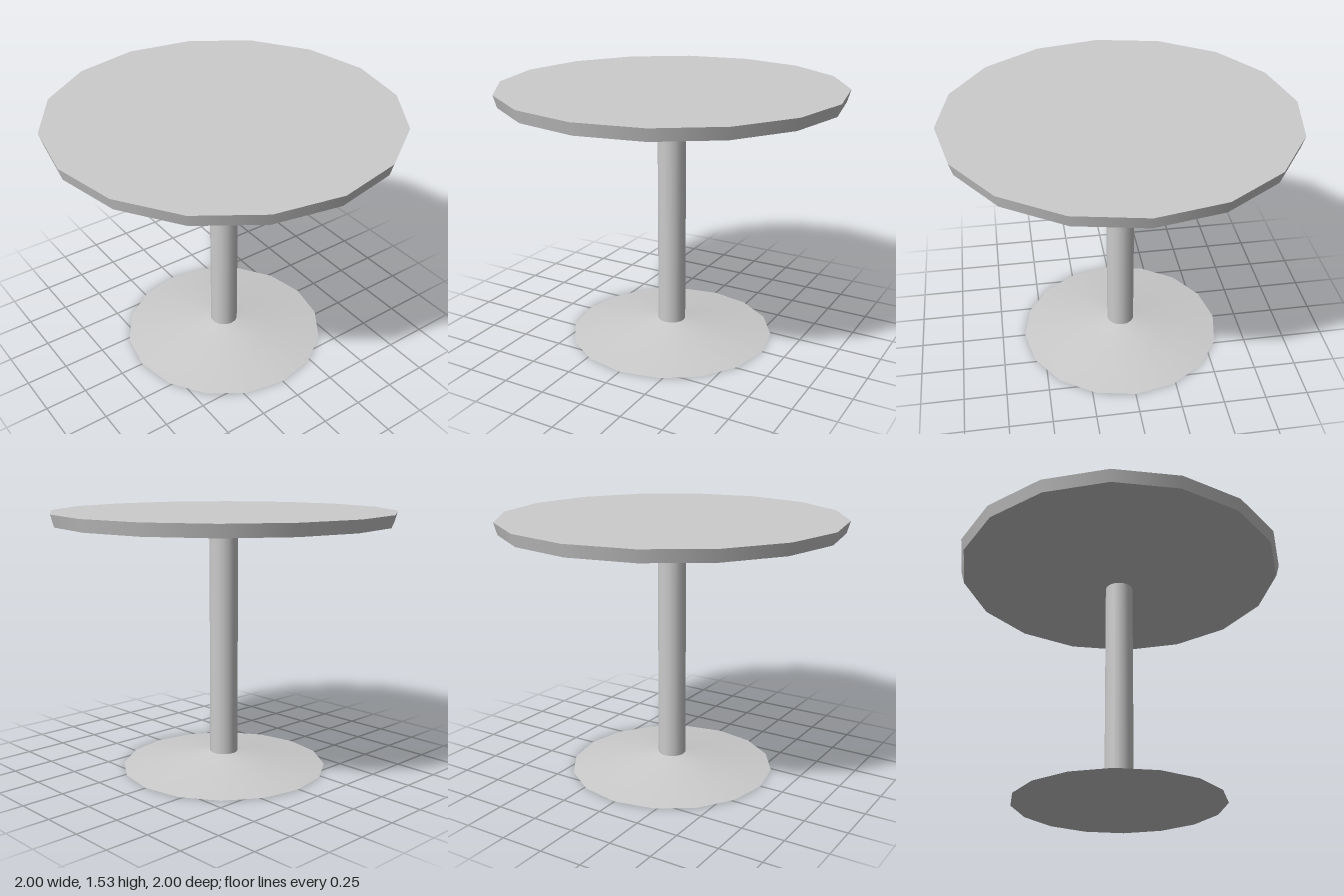
import * as THREE from 'three';

const SIDES = 16;

export function createModel() {
  const model = new THREE.Group();
  const material = new THREE.MeshStandardMaterial({ color: 0xcccccc });

  const add = (name, geometry, y, parent = model) => {
    const mesh = new THREE.Mesh(geometry, material);
    mesh.name = name;
    mesh.position.y = y;
    parent.add(mesh);
  };
  // Open ring between two radii, smooth around the axis
  const ring = (name, rTop, rBottom, y0, y1, parent) =>
    add(name, new THREE.CylinderGeometry(rTop, rBottom, y1 - y0, SIDES, 1, true), (y0 + y1) / 2, parent);
  // Flat disc facing up or down
  const disc = (name, r, y, up, parent) =>
    add(name, new THREE.CircleGeometry(r, SIDES).rotateX(up ? -Math.PI / 2 : Math.PI / 2), y, parent);

  // Table top: flat surface, slightly tapered rim, shallow conical underside
  const top = new THREE.Group();
  top.name = 'tableTop';
  model.add(top);
  disc('topSurface', 1, 1.53, true, top);
  ring('topRim', 1, 0.98, 1.46, 1.53, top);
  ring('topUnderside', 0.98, 0.083, 1.385, 1.46, top);

  // Central column
  ring('column', 0.083, 0.083, 0.083, 1.385);

  // Foot: shallow cone with a slight dip, closed underneath
  const base = new THREE.Group();
  base.name = 'base';
  model.add(base);
  const profile = [[0.61, 0], [0.3, 0.043], [0.083, 0.083]].map(([r, y]) => new THREE.Vector2(r, y));
  add('baseSlope', new THREE.LatheGeometry(profile, SIDES), 0, base);
  disc('baseUnderside', 0.61, 0, false, base);

  return model;
}
